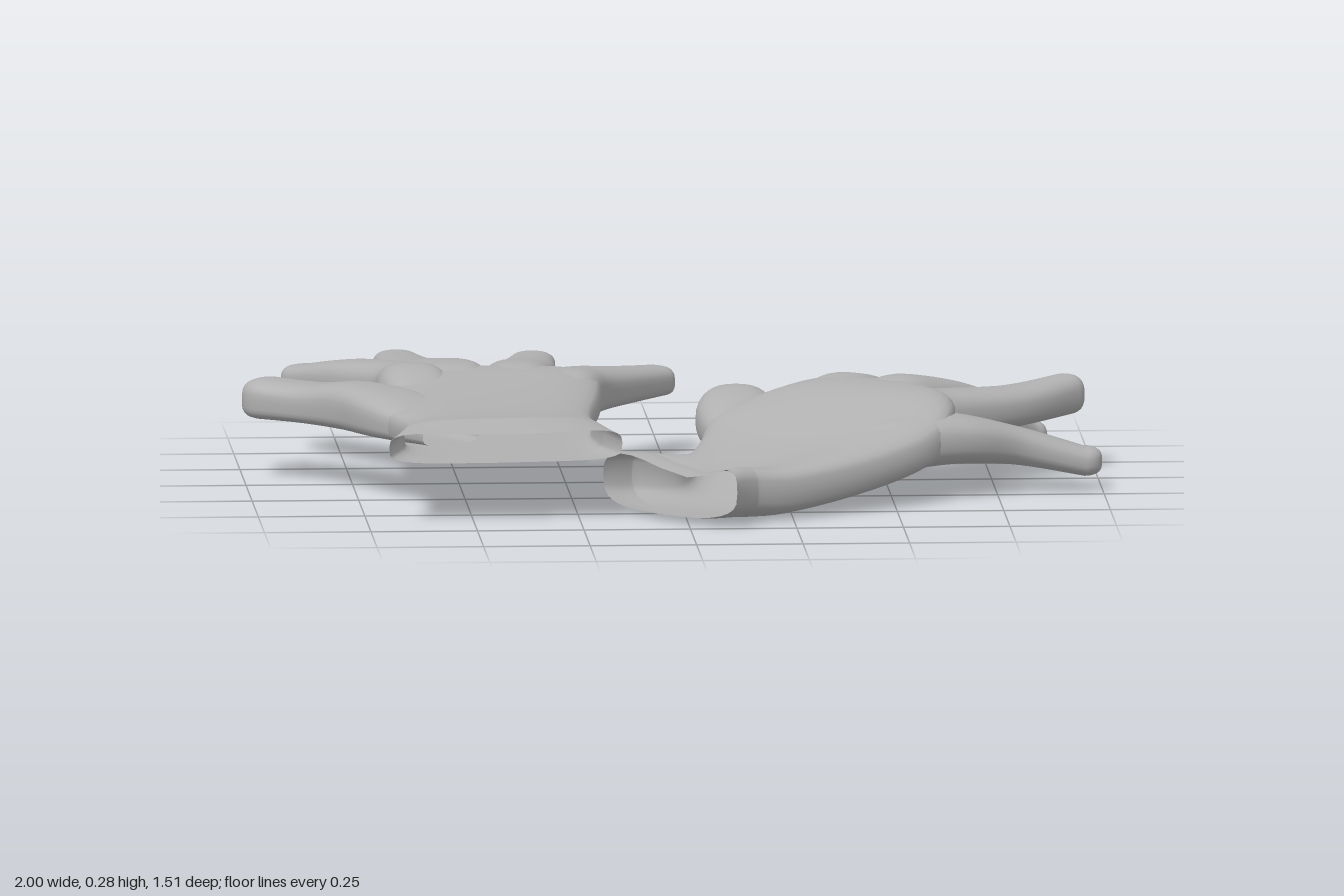
import * as THREE from 'three';

const SIDES = 32;

// Smooth interpolation of rows of numbers (Catmull-Rom on every column)
function refine(rows, steps) {
  const out = [];
  const at = i => rows[Math.min(Math.max(i, 0), rows.length - 1)];
  for (let i = 0; i < rows.length - 1; i++) {
    for (let s = 0; s < steps; s++) {
      const t = s / steps;
      out.push(rows[i].map((b, k) => {
        const a = at(i - 1)[k], c = at(i + 1)[k], d = at(i + 2)[k];
        return b + 0.5 * t * (c - a + t * (2 * a - 5 * b + 4 * c - d + t * (3 * (b - c) + d - a)));
      }));
    }
  }
  out.push(rows[rows.length - 1].slice());
  return out;
}

// Skin through sections: [leftX, leftZ, rightX, rightZ, bottom, top, dip, topBow, bottomBow]
function skin(rows, { top, bottom }, cap) {
  const pos = [], index = [];
  const pw = (v, e) => Math.sign(v) * Math.abs(v) ** e;
  for (const [lx, lz, rx, rz, y0, y1, dip = 0, topBow = 0, bottomBow = 0] of rows) {
    const len = Math.hypot(rx - lx, rz - lz) || 1;
    for (let j = 0; j < SIDES; j++) {
      const a = j / SIDES * Math.PI * 2, s = Math.sin(a), e = s >= 0 ? top : bottom;
      const u = pw(Math.cos(a), e), v = pw(s, e), round = 1 - u * u;
      const push = (s > 0 ? topBow : bottomBow) * round / len;
      pos.push(
        (lx + rx) / 2 + u * (rx - lx) / 2 - push * (rz - lz),
        (y0 + y1) / 2 + v * (y1 - y0) / 2 - (s > 0 ? dip * round * round : 0),
        (lz + rz) / 2 + u * (rz - lz) / 2 + push * (rx - lx));
    }
  }
  for (let i = 0; i < rows.length - 1; i++) {
    for (let j = 0; j < SIDES; j++) {
      const k = (j + 1) % SIDES, a = i * SIDES, c = a + SIDES;
      index.push(a + j, c + j, a + k, a + k, c + j, c + k);
    }
  }
  if (cap) {
    const [lx, lz, rx, rz, y0, y1] = rows[rows.length - 1], base = (rows.length - 1) * SIDES;
    pos.push((lx + rx) / 2, (y0 + y1) / 2, (lz + rz) / 2);
    for (let j = 0; j < SIDES; j++) index.push(base + SIDES, base + (j + 1) % SIDES, base + j);
  }
  const g = new THREE.BufferGeometry();
  g.setAttribute('position', new THREE.Float32BufferAttribute(pos, 3));
  g.setIndex(index);
  g.computeVertexNormals();
  return g;
}

// Finger along a path of [x, z, halfWidth, bottom, top], with a blunt rounded tip
function finger(path, shape) {
  const p = refine(path, 7), n = p.length - 1;
  const rows = [];
  const add = (x, z, w, y0, y1, fx, fz) =>
    rows.push([x + fz * w, z - fx * w, x - fz * w, z + fx * w, y0, y1]);
  let fx, fz;
  p.forEach(([x, z, w, y0, y1], i) => {
    const a = p[Math.max(i - 1, 0)], b = p[Math.min(i + 1, n)];
    const d = Math.hypot(b[0] - a[0], b[1] - a[1]);
    fx = (b[0] - a[0]) / d;
    fz = (b[1] - a[1]) / d;
    add(x, z, w, y0, y1, fx, fz);
  });
  const [x, z, w, y0, y1] = p[n], mid = (y0 + y1) / 2, h = (y1 - y0) / 2;
  for (let i = 1; i <= 8; i++) {
    const a = i / 8 * 1.55, c = Math.cos(a) ** 0.8, o = 0.85 * w * Math.sin(a), k = Math.cos(a) ** 0.55;
    add(x + fx * o, z + fz * o, w * c, mid - h * k, mid + h * k, fx, fz);
  }
  return skin(rows, shape, true);
}

// Glove lying flat on its palm
const flatGlove = {
  palmShape: { top: 0.62, bottom: 0.4 },
  fingerShape: { top: 0.75, bottom: 0.5 },
  cuff: [
    [-0.70, 0.63, -0.15, 0.585, 0.14, 0.222, 0.01, 0.05, 0.01],
    [-0.683, 0.58, -0.17, 0.54, 0.14, 0.228, 0.005, 0.045, 0.01],
    [-0.665, 0.53, -0.19, 0.49, 0.14, 0.235, 0, 0.04, 0.01],
  ],
  palm: [
    [-0.655, 0.42, -0.205, 0.36, 0.14, 0.228, 0, 0.02, 0],
    [-0.69, 0.28, -0.20, 0.25, 0.14, 0.232, 0, 0, 0],
    [-0.70, 0.10, -0.175, 0.08, 0.14, 0.245, 0, 0, 0],
    [-0.68, -0.06, -0.16, -0.08, 0.14, 0.26, 0, 0, 0],
    [-0.66, -0.17, -0.165, -0.17, 0.14, 0.25, 0, 0, 0],
    [-0.575, -0.25, -0.265, -0.245, 0.145, 0.205, 0, -0.02, -0.02],
  ],
  fingers: {
    thumb: [[-0.54, 0.36, 0.08, 0.145, 0.20], [-0.64, 0.20, 0.10, 0.14, 0.24], [-0.74, 0.055, 0.08, 0.14, 0.25],
      [-0.835, -0.055, 0.073, 0.14, 0.232], [-0.94, -0.13, 0.067, 0.14, 0.235]],
    indexFinger: [[-0.56, 0.15, 0.06, 0.145, 0.20], [-0.60, -0.03, 0.085, 0.14, 0.272], [-0.622, -0.20, 0.075, 0.14, 0.258],
      [-0.735, -0.37, 0.067, 0.14, 0.24], [-0.835, -0.505, 0.056, 0.14, 0.21]],
    middleFinger: [[-0.48, 0.12, 0.06, 0.145, 0.20], [-0.50, -0.08, 0.08, 0.14, 0.264], [-0.505, -0.25, 0.076, 0.14, 0.258],
      [-0.578, -0.50, 0.076, 0.14, 0.222], [-0.607, -0.71, 0.055, 0.14, 0.21]],
    ringFinger: [[-0.36, 0.12, 0.06, 0.145, 0.20], [-0.355, -0.08, 0.08, 0.14, 0.262], [-0.345, -0.25, 0.085, 0.14, 0.255],
      [-0.317, -0.48, 0.072, 0.14, 0.222], [-0.29, -0.675, 0.055, 0.14, 0.21]],
    littleFinger: [[-0.28, 0.12, 0.05, 0.145, 0.20], [-0.245, -0.05, 0.075, 0.14, 0.254], [-0.205, -0.19, 0.08, 0.14, 0.245],
      [-0.11, -0.32, 0.064, 0.14, 0.225], [-0.02, -0.435, 0.053, 0.14, 0.21]],
  },
};

// Glove with a low wrist, arched back and drooping fingers
const archedGlove = {
  palmShape: { top: 0.6, bottom: 0.6 },
  fingerShape: { top: 0.8, bottom: 0.75 },
  cuff: [
    [-0.185, 0.405, 0.11, 0.75, 0.012, 0.15, 0.06, -0.055, 0.035],
    [-0.15, 0.38, 0.137, 0.71, 0.005, 0.15, 0.055, -0.045, 0.03],
    [-0.115, 0.355, 0.165, 0.675, 0.002, 0.145, 0.05, -0.03, 0.02],
  ],
  palm: [
    [0.0, 0.325, 0.27, 0.615, 0, 0.135, 0.03, 0, 0],
    [0.05, 0.20, 0.46, 0.49, 0.025, 0.16, 0.015, 0, 0],
    [0.09, 0.07, 0.60, 0.375, 0.06, 0.20, 0, 0, 0],
    [0.225, -0.025, 0.645, 0.27, 0.09, 0.238, 0, 0, 0],
    [0.355, -0.13, 0.655, 0.18, 0.105, 0.24, 0, 0, 0],
    [0.49, -0.11, 0.65, 0.13, 0.125, 0.20, 0, 0, 0],
  ],
  fingers: {
    thumb: [[0.17, 0.24, 0.07, 0.05, 0.13], [0.152, 0.02, 0.097, 0.075, 0.205],
      [0.155, -0.12, 0.076, 0.085, 0.21], [0.152, -0.24, 0.053, 0.03, 0.125]],
    indexFinger: [[0.27, 0.17, 0.06, 0.11, 0.18], [0.38, 0.0, 0.09, 0.10, 0.24], [0.44, -0.12, 0.088, 0.10, 0.235],
      [0.53, -0.28, 0.073, 0.068, 0.18], [0.594, -0.395, 0.056, 0.02, 0.10]],
    middleFinger: [[0.35, 0.19, 0.06, 0.11, 0.18], [0.50, 0.04, 0.08, 0.10, 0.245], [0.60, -0.065, 0.08, 0.10, 0.235],
      [0.73, -0.205, 0.074, 0.07, 0.182], [0.845, -0.30, 0.056, 0.015, 0.095]],
    ringFinger: [[0.36, 0.26, 0.06, 0.10, 0.17], [0.52, 0.15, 0.08, 0.10, 0.236], [0.64, 0.075, 0.072, 0.11, 0.225],
      [0.80, -0.035, 0.066, 0.12, 0.215], [0.93, -0.145, 0.049, 0.13, 0.225]],
    littleFinger: [[0.32, 0.38, 0.06, 0.07, 0.14], [0.50, 0.30, 0.095, 0.07, 0.195], [0.65, 0.235, 0.097, 0.075, 0.19],
      [0.80, 0.178, 0.064, 0.06, 0.15], [0.957, 0.16, 0.05, 0.03, 0.10]],
  },
};

function buildGlove(name, { cuff, palm, fingers, palmShape, fingerShape }, material) {
  const glove = new THREE.Group();
  glove.name = name;
  const add = (part, geometry) => {
    const mesh = new THREE.Mesh(geometry, material);
    mesh.name = part;
    glove.add(mesh);
  };
  add('cuff', skin(refine(cuff, 4), palmShape, false));
  // the palm starts on the seam, the last section of the cuff
  add('palm', skin(refine([cuff[cuff.length - 1], ...palm], 7), palmShape, true));
  for (const [part, path] of Object.entries(fingers)) add(part, finger(path, fingerShape));
  return glove;
}

export function createModel() {
  const fabric = new THREE.MeshStandardMaterial({ color: 0xb0b0b0 });
  fabric.name = 'grey fabric';
  fabric.side = THREE.DoubleSide; // open cuffs show the lining
  const model = new THREE.Group();
  model.name = 'pairOfGloves';
  model.add(buildGlove('flatGlove', flatGlove, fabric), buildGlove('archedGlove', archedGlove, fabric));
  return model;
}
